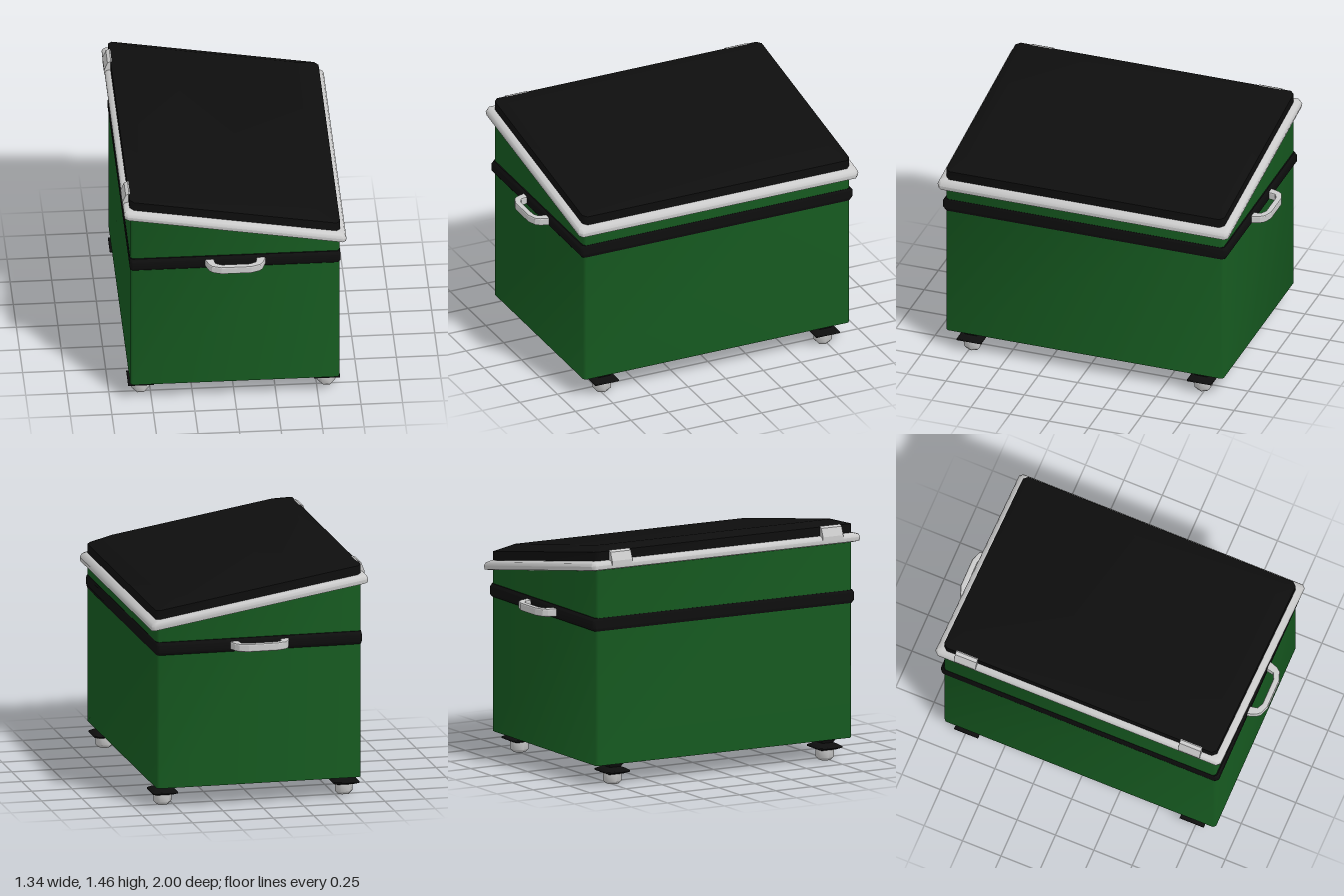
import * as THREE from 'three';
import { toCreasedNormals } from 'three/addons/utils/BufferGeometryUtils.js';

const green = new THREE.MeshStandardMaterial({ color: 0x165a20 });
const black = new THREE.MeshStandardMaterial({ color: 0x0e0e0e });
const grey = new THREE.MeshStandardMaterial({ color: 0xcccccc });

const SLOPE = -0.1685; // fall of the lid along x

// Solid through stacked rectangular rings with cut corners.
// Each ring is [half x, half z, corner cut, height at x = 0, slope along x].
function loft(rings) {
  const pos = [], idx = [], n = 8;
  for (const [hx, hz, c, y, s = 0] of rings) {
    const corners = [
      [hx, hz - c], [hx - c, hz], [c - hx, hz], [-hx, hz - c],
      [-hx, c - hz], [c - hx, -hz], [hx - c, -hz], [hx, c - hz],
    ];
    for (const [x, z] of corners) pos.push(x, y + s * x, z);
  }
  for (let r = 0; r < rings.length - 1; r++) {
    for (let j = 0; j < n; j++) {
      const a = r * n + j, b = r * n + (j + 1) % n;
      idx.push(b, a, a + n, b, a + n, b + n);
    }
  }
  const top = (rings.length - 1) * n;
  for (let j = 1; j < n - 1; j++) {
    idx.push(0, j, j + 1, top, top + j + 1, top + j);
  }
  const g = new THREE.BufferGeometry();
  g.setAttribute('position', new THREE.Float32BufferAttribute(pos, 3));
  g.setIndex(idx);
  return toCreasedNormals(g, 0.9);
}

function part(parent, name, geometry, material) {
  const mesh = new THREE.Mesh(geometry, material);
  mesh.name = name;
  parent.add(mesh);
  return mesh;
}

// Turned shape with few sides, flat faces square to the axes for four sides
function turned(points, sides, angle) {
  const g = new THREE.LatheGeometry(points.map(([r, y]) => new THREE.Vector2(r, y)), sides);
  g.deleteAttribute('normal');
  g.deleteAttribute('uv');
  return toCreasedNormals(g.rotateY(angle), 1.1);
}

function extrude(points, depth, bevel = 0) {
  const shape = new THREE.Shape(points.map(([x, y]) => new THREE.Vector2(x, y)));
  return new THREE.ExtrudeGeometry(shape, {
    depth, bevelEnabled: bevel > 0, bevelSize: bevel, bevelThickness: bevel,
    bevelOffset: -bevel, bevelSegments: 2,
  });
}

export function createModel() {
  const model = new THREE.Group();
  model.name = 'coolBox';

  part(model, 'body', loft([
    [0.63, 0.885, 0.015, 0.13],
    [0.63, 0.885, 0.015, 1.25, SLOPE],
  ]), green);

  part(model, 'band', loft([
    [0.632, 0.892, 0.015, 0.955],
    [0.634, 0.905, 0.015, 0.972],
    [0.634, 0.905, 0.015, 1.018],
    [0.632, 0.892, 0.015, 1.035],
  ]), black);

  // Rounded rim under the lid
  part(model, 'lidTrim', loft([
    [0.64, 0.9, 0.015, 1.222, SLOPE],
    [0.667, 0.925, 0.02, 1.226, SLOPE],
    [0.669, 0.93, 0.02, 1.25, SLOPE],
    [0.66, 0.922, 0.02, 1.27, SLOPE],
    [0.635, 0.895, 0.015, 1.28, SLOPE],
  ]), grey);

  part(model, 'lid', loft([
    [0.634, 0.888, 0.025, 1.26, SLOPE],
    [0.634, 0.888, 0.025, 1.335, SLOPE],
    [0.52, 0.81, 0.025, 1.371, SLOPE],
  ]), black);

  // Hinges on the high edge
  const hinge = extrude([
    [-0.62, 1.36], [-0.62, 1.44], [-0.632, 1.446], [-0.652, 1.436], [-0.672, 1.385], [-0.672, 1.36],
  ], 0.14);
  for (const z of [0.73, -0.73]) {
    part(model, 'hinge', hinge, grey).position.z = z - 0.07;
  }

  // Grab handles, front and back
  const handle = extrude([
    [-0.187, 0.89], [-0.165, 0.955], [-0.145, 0.98], [-0.09, 1.0],
    [0.09, 1.0], [0.145, 0.98], [0.165, 0.955], [0.187, 0.89],
    [0.13, 0.89], [0.12, 0.945], [0.085, 0.963],
    [-0.085, 0.963], [-0.12, 0.945], [-0.13, 0.89],
  ], 0.032, 0.009).rotateX(Math.PI / 2).translate(0, 1.011, 0);
  for (const turn of [0, Math.PI]) {
    part(model, 'handle', handle, grey).rotation.y = turn;
  }

  // Feet: square black mount with a six-sided grey stud
  const q = Math.SQRT2;
  const mount = turned([
    [0, 0.06], [0.05 * q, 0.064], [0.078 * q, 0.077], [0.078 * q, 0.086],
    [0.055 * q, 0.1], [0.038 * q, 0.106], [0.052 * q, 0.135],
  ], 4, Math.PI / 4);
  const stud = turned([
    [0, 0], [0.038, 0], [0.055, 0.018], [0.055, 0.075],
  ], 6, Math.PI / 6);
  for (const x of [0.56, -0.56]) {
    for (const z of [0.735, -0.735]) {
      const foot = new THREE.Group();
      foot.name = 'foot';
      foot.position.set(x, 0, z);
      part(foot, 'footMount', mount, black);
      part(foot, 'footStud', stud, grey);
      model.add(foot);
    }
  }
  return model;
}
